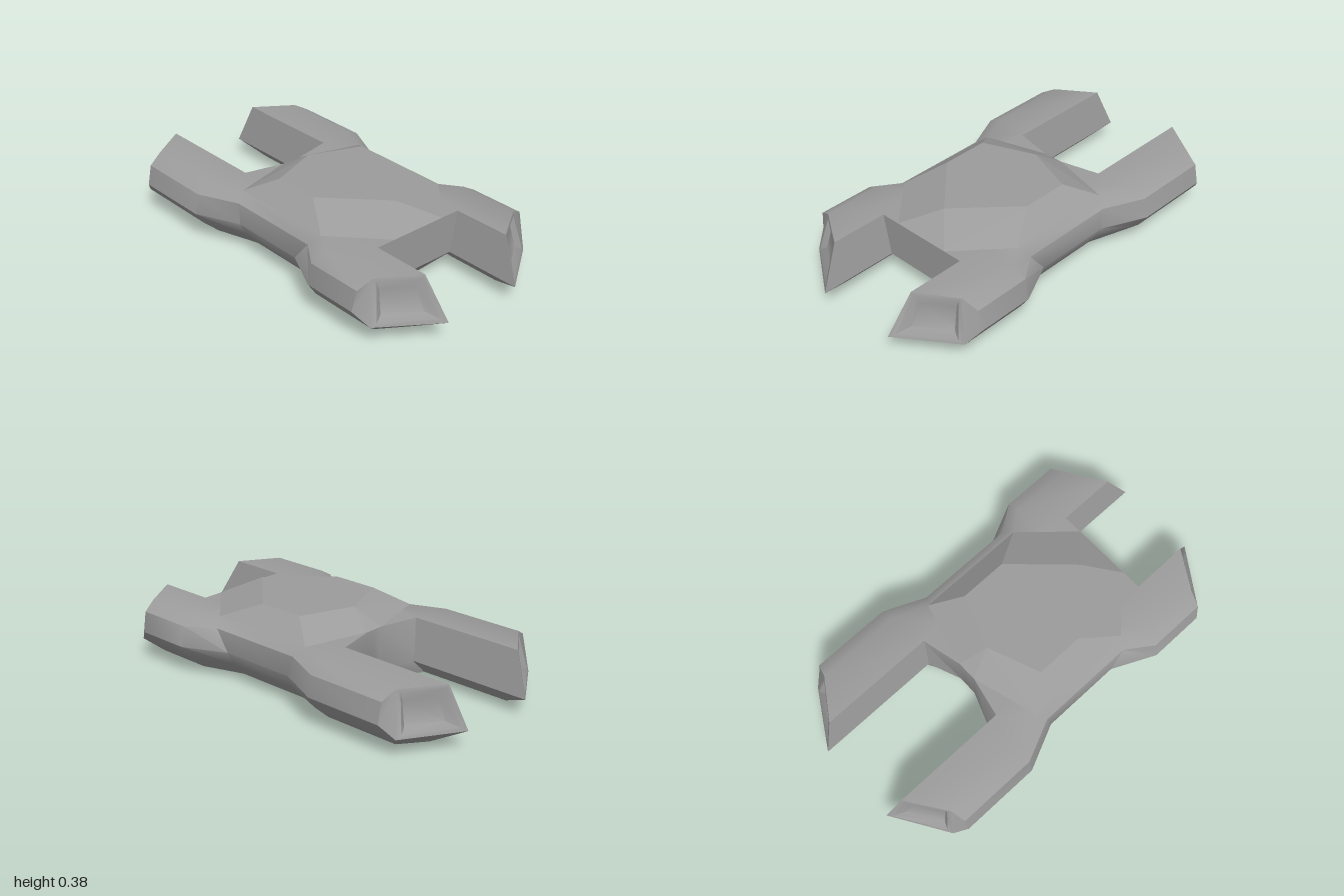
import * as THREE from 'three';
import { toCreasedNormals } from 'three/addons/utils/BufferGeometryUtils.js';
import { ConvexGeometry } from 'three/addons/geometries/ConvexGeometry.js';

const darkGrey = new THREE.MeshStandardMaterial({ color: 0x9c9c9c });

// Collects polygons given as corner lists, counter-clockwise from outside
class Faces {
  constructor(flip = false) { this.flip = flip; this.data = []; }
  poly(...corners) {
    if (this.flip) corners.reverse();
    for (let i = 1; i < corners.length - 1; i++) {
      this.data.push(...corners[0], ...corners[i], ...corners[i + 1]);
    }
  }
  // Skin between successive closed cross-sections
  loft(sections) {
    for (let s = 0; s < sections.length - 1; s++) {
      const a = sections[s], b = sections[s + 1];
      a.forEach((p, i) => {
        const j = (i + 1) % a.length;
        this.poly(p, a[j], b[j], b[i]);
      });
    }
  }
  mesh(name) {
    const g = new THREE.BufferGeometry();
    g.setAttribute('position', new THREE.Float32BufferAttribute(this.data, 3));
    const m = new THREE.Mesh(toCreasedNormals(g, 0.69), darkGrey);
    m.name = name;
    return m;
  }
}

// Pod profiles as [z, y]: inner low, inner top, outer top, shoulder, widest,
// outer low, bottom outer, bottom inner
const wide = [[0.21, 0.095], [0.25, 0.3], [0.44, 0.3], [0.51, 0.26],
  [0.53, 0.16], [0.485, 0.095], [0.4, 0.02], [0.28, 0.02]];
const waist = [[0.21, 0.095], [0.25, 0.3], [0.37, 0.3], [0.42, 0.26],
  [0.43, 0.16], [0.4, 0.095], [0.33, 0.02], [0.28, 0.02]];
// x of each profile point at the slanted pod ends and the waist
const rearX = [-1, -0.92, -0.79, -0.77, -0.77, -0.83, -0.76, -0.85];
const waistRearX = [-0.15, -0.2, -0.2, -0.17, -0.15, -0.15, -0.15, -0.15];
const waistFrontX = [0.25, 0.36, 0.36, 0.33, 0.25, 0.25, 0.25, 0.25];
const frontX = [1, 0.89, 0.77, 0.75, 0.74, 0.81, 0.75, 0.83];

// Slanted end with a framed, recessed nozzle panel
function podEnd(f, s, dir) {
  const face = (...c) => f.poly(...(dir > 0 ? c : c.reverse()));
  const quad = [s[0], s[1], s[2], s[5]];
  const at = (u, v, depth) => {
    const lerp = (a, b, t) => a.map((n, k) => n + (b[k] - n) * t);
    const p = lerp(lerp(quad[0], quad[3], u), lerp(quad[1], quad[2], u), v);
    p[0] -= dir * depth;
    return p;
  };
  const ring = (u, v0, v1, d) => [at(u, v0, d), at(u, v1, d), at(1 - u, v1, d), at(1 - u, v0, d)];
  const rim = ring(0.08, 0.08, 0.93, 0);
  const floor = ring(0.2, 0.2, 0.71, 0.03);
  for (let i = 0; i < 4; i++) {
    const j = (i + 1) % 4;
    face(quad[i], quad[j], rim[j], rim[i]);
    face(rim[i], rim[j], floor[j], floor[i]);
  }
  face(...floor);
  face(s[2], s[3], s[4], s[5]); // outer chamfer
  face(s[0], s[5], s[6], s[7]); // undercut
}

function sidePod(side, name) {
  const f = new Faces(side < 0);
  const section = (profile, xs) => profile.map(([z, y], i) => [xs[i], y, z * side]);
  const level = (x) => Array(wide.length).fill(x);
  const sections = [section(wide, rearX), section(wide, level(-0.37)), section(waist, waistRearX),
    section(waist, waistFrontX), section(wide, level(0.46)), section(wide, frontX)];
  f.loft(sections);
  podEnd(f, sections[0], -1);
  podEnd(f, sections[5], 1);
  return f.mesh(name);
}

// Central hull, lofted across z, with a notch at one end and a shallow keel
function hull() {
  const f = new Faces();
  const section = (z, top, back, under, keel) => [[0.6, 0.3], [top, 0.3], [back, 0.095],
    [under, 0.02], [-0.1, 0.02], [0.52, keel], [0.6, 0.095]].map(([x, y]) => [x, y, z]);
  f.loft([section(-0.27, -0.34, -0.38, -0.37, 0.02), section(-0.05, -0.29, -0.295, -0.25, 0.0035),
    section(0, -0.29, -0.295, -0.25, 0), section(0.05, -0.29, -0.295, -0.25, 0.0035),
    section(0.27, -0.34, -0.38, -0.37, 0.02)]);
  // Flat belly strips joining hull and pods
  for (const s of [-1, 1]) {
    const strip = [[-0.37, 0.02, 0.27 * s], [0.52, 0.02, 0.27 * s], [0.52, 0.02, 0.3 * s], [-0.37, 0.02, 0.3 * s]];
    f.poly(...(s > 0 ? strip : strip.reverse()));
  }
  return f.mesh('hull');
}

// Faceted raised deck
function deck() {
  const points = [new THREE.Vector3(-0.16, 0.38, 0), new THREE.Vector3(0.45, 0.38, 0)];
  for (const s of [-1, 1]) {
    for (const [x, y, z] of [[-0.06, 0.38, 0.26], [0.18, 0.38, 0.26], [-0.29, 0.3, 0.05],
      [-0.2, 0.3, 0.37], [0.36, 0.3, 0.37], [0.6, 0.3, 0.15]]) {
      points.push(new THREE.Vector3(x, y, z * s));
    }
  }
  const m = new THREE.Mesh(new ConvexGeometry(points), darkGrey);
  m.name = 'raisedDeck';
  return m;
}

export function createModel() {
  const group = new THREE.Group();
  group.name = 'spacecraft';
  group.add(hull(), deck(), sidePod(1, 'frontSidePod'), sidePod(-1, 'backSidePod'));
  return group;
}
